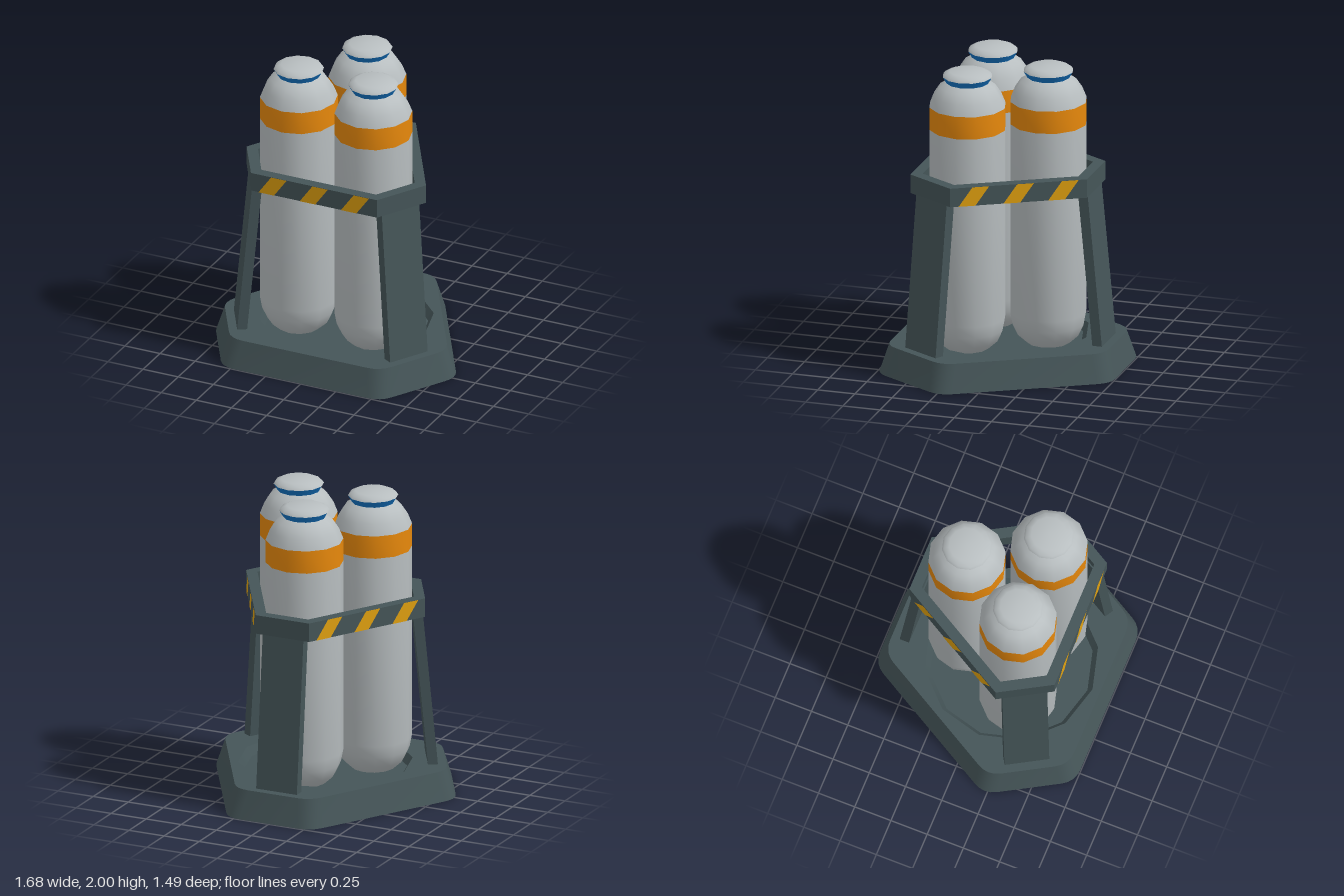
import * as THREE from 'three';
import { toCreasedNormals } from 'three/addons/utils/BufferGeometryUtils.js';

const mat = (name, color, side = THREE.FrontSide) => {
  const m = new THREE.MeshStandardMaterial({ color, side });
  m.name = name;
  return m;
};

const THIRD = (Math.PI * 2) / 3;

// Triangle with cut-off tips: long sides at distance a, tip sides at distance b.
// Corners are optionally rounded over length r. Counter-clockwise, one tip at +y.
function outline(a, b, r = 0) {
  const h = (a - b / 2) / Math.cos(Math.PI / 6);
  const corners = [];
  for (let i = 0; i < 3; i++)
    for (const x of [h, -h])
      corners.push(new THREE.Vector2(x, b).rotateAround(new THREE.Vector2(), i * THIRD));
  if (!r) return corners;
  return corners.flatMap((c, i) => {
    const toward = (p) => c.clone().add(p.clone().sub(c).setLength(r));
    const prev = corners[(i + 5) % 6], next = corners[(i + 1) % 6];
    return new THREE.QuadraticBezierCurve(toward(prev), c, toward(next)).getPoints(4);
  });
}

// Side wall between two outlines lying at heights y0 and y1
function wall(lower, upper, y0, y1) {
  const pos = [];
  const put = (p, y) => pos.push(p.x, y, -p.y);
  lower.forEach((p, i) => {
    const j = (i + 1) % lower.length;
    put(p, y0); put(lower[j], y0); put(upper[j], y1);
    put(p, y0); put(upper[j], y1); put(upper[i], y1);
  });
  const g = new THREE.BufferGeometry();
  g.setAttribute('position', new THREE.Float32BufferAttribute(pos, 3));
  return toCreasedNormals(g, 0.6);
}

export function createModel() {
  const steel = mat('darkSteel', 0x455558);
  const recess = mat('darkSteelInside', 0x455558, THREE.DoubleSide);
  const grey = mat('lightGrey', 0xb8bec0);
  const orange = mat('orange', 0xe8890c);
  const blue = mat('blue', 0x1474c4);
  const yellow = mat('yellow', 0xe0a010);

  const model = new THREE.Group();
  const rack = new THREE.Group();
  rack.name = 'canisterRack';
  rack.position.z = 0.077;
  model.add(rack);

  const add = (parent, name, geometry, material) => {
    const mesh = new THREE.Mesh(geometry, material);
    mesh.name = name;
    parent.add(mesh);
    return mesh;
  };

  // Base: sloped plinth with a shallow round recess in its top
  const BASE = 0.185, FLOOR = 0.13;
  const bottom = outline(0.668, 0.822, 0.09);
  const top = outline(0.612, 0.767, 0.09);
  add(rack, 'baseWall', wall(bottom, top, 0, BASE), steel);
  add(rack, 'baseUnderside', new THREE.ShapeGeometry(new THREE.Shape(bottom)).rotateX(-Math.PI / 2)
    .scale(1, -1, 1), recess).geometry.computeVertexNormals();
  const topShape = new THREE.Shape(top);
  const rim = [];
  for (let i = 0; i < 12; i++) {
    const t = (i / 12) * Math.PI * 2;
    rim.push(new THREE.Vector2(Math.cos(t) * 0.56, Math.sin(t) * 0.56));
  }
  topShape.holes.push(new THREE.Path(rim));
  add(rack, 'baseTop', new THREE.ShapeGeometry(topShape).rotateX(-Math.PI / 2).translate(0, BASE, 0), steel);
  add(rack, 'recessWall', new THREE.CylinderGeometry(0.56, 0.525, BASE - FLOOR, 12, 1, true)
    .translate(0, (BASE + FLOOR) / 2, 0), recess);
  add(rack, 'recessFloor', new THREE.CircleGeometry(0.525, 12).rotateX(-Math.PI / 2)
    .translate(0, FLOOR, 0), steel);

  // Collar holding the canisters
  const collarShape = new THREE.Shape(outline(0.478, 0.627));
  collarShape.holes.push(new THREE.Path(outline(0.408, 0.557)));
  add(rack, 'collar', new THREE.ExtrudeGeometry(collarShape, { depth: 0.125, bevelEnabled: false })
    .rotateX(-Math.PI / 2).translate(0, 1.2, 0), steel);

  // Leaning leg at the rear tip, sheared towards the centre
  const legGeo = new THREE.BoxGeometry(0.29, 1.08, 0.064).translate(0, 0.71, -0.68);
  const lp = legGeo.attributes.position;
  for (let i = 0; i < lp.count; i++) lp.setZ(i, lp.getZ(i) + (lp.getY(i) - 0.185) * 0.094);
  legGeo.computeVertexNormals();

  // Slanted warning stripe
  const stripeGeo = new THREE.ShapeGeometry(new THREE.Shape([
    [-0.1, 0], [0.01, 0], [0.1, 0.125], [-0.01, 0.125],
  ].map(([x, y]) => new THREE.Vector2(x, y))));

  // Canister pieces, each a lathe of [radius, height] points
  const lathe = (pts) => toCreasedNormals(
    new THREE.LatheGeometry(pts.map(([x, y]) => new THREE.Vector2(x, y)), 12), 0.6);
  const pieces = [
    ['canisterBody', grey, lathe([[0, 0.13], [0.14, 0.135], [0.2, 0.19], [0.235, 0.265], [0.25, 0.345], [0.25, 1.62]])],
    ['canisterBand', orange, lathe([[0.25, 1.62], [0.25, 1.77]])],
    ['canisterShoulder', grey, lathe([[0.25, 1.77], [0.222, 1.84], [0.182, 1.9], [0.125, 1.935]])],
    ['canisterNeckRing', blue, lathe([[0.135, 1.92], [0.142, 1.935], [0.162, 1.968]])],
    ['canisterCap', grey, lathe([[0.162, 1.968], [0.15, 1.984], [0.115, 2], [0, 2]])],
  ];

  // Three identical sectors: a leg, a striped collar side and a canister
  for (let i = 0; i < 3; i++) {
    const sector = new THREE.Group();
    sector.name = 'sector' + (i + 1);
    sector.rotation.y = i * THIRD;
    rack.add(sector);
    add(sector, 'leg', legGeo, steel);
    for (const x of [-0.293, 0, 0.293])
      add(sector, 'warningStripe', stripeGeo, yellow).position.set(x, 1.2, 0.481);
    const canister = new THREE.Group();
    canister.name = 'canister';
    canister.position.z = -0.306;
    sector.add(canister);
    for (const [name, material, geo] of pieces) add(canister, name, geo, material);
  }
  return model;
}
